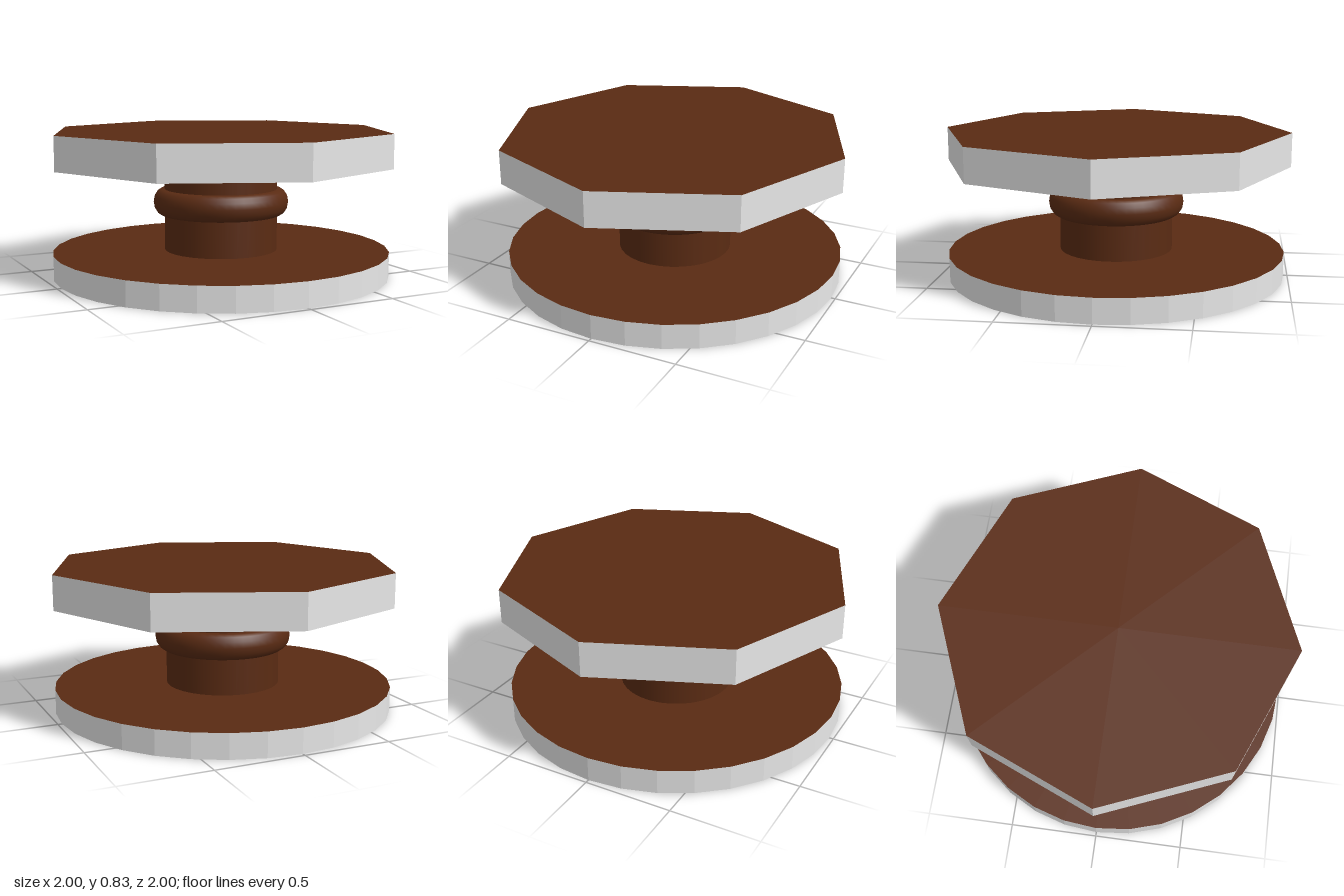
import * as THREE from 'three';

export function createModel() {
  const model = new THREE.Group();
  const brown = new THREE.MeshStandardMaterial({ color: 0x5a2b13 });
  brown.name = 'dark wood brown';
  const white = new THREE.MeshStandardMaterial({ color: 0xf2f2f2 });
  white.name = 'white edge';

  const add = (name, geometry, material, y) => {
    const mesh = new THREE.Mesh(geometry, material);
    mesh.name = name;
    mesh.position.y = y;
    model.add(mesh);
  };

  // Faceted slab: white rim, brown top and bottom
  const slab = (name, radius, sides, bottom, top) => {
    const geometry = new THREE.CylinderGeometry(radius, radius, top - bottom, sides).toNonIndexed();
    geometry.computeVertexNormals();
    add(name, geometry, [white, brown, brown], (top + bottom) / 2);
  };
  slab('base', 0.977, 32, 0, 0.14);
  slab('tabletop', 1, 8, 0.64, 0.835);

  // Round column between the slabs
  add('column', new THREE.CylinderGeometry(0.328, 0.328, 0.5, 32, 1, true), brown, 0.39);

  // Rounded collar around the column
  const half = [[0.32, 0.075], [0.35, 0.073], [0.37, 0.06], [0.386, 0.035], [0.392, 0]];
  const profile = [
    ...half.map(([r, y]) => new THREE.Vector2(r, -y)),
    ...half.slice(0, -1).reverse().map(([r, y]) => new THREE.Vector2(r, y)),
  ];
  add('collar', new THREE.LatheGeometry(profile, 48), brown, 0.422);

  return model;
}
